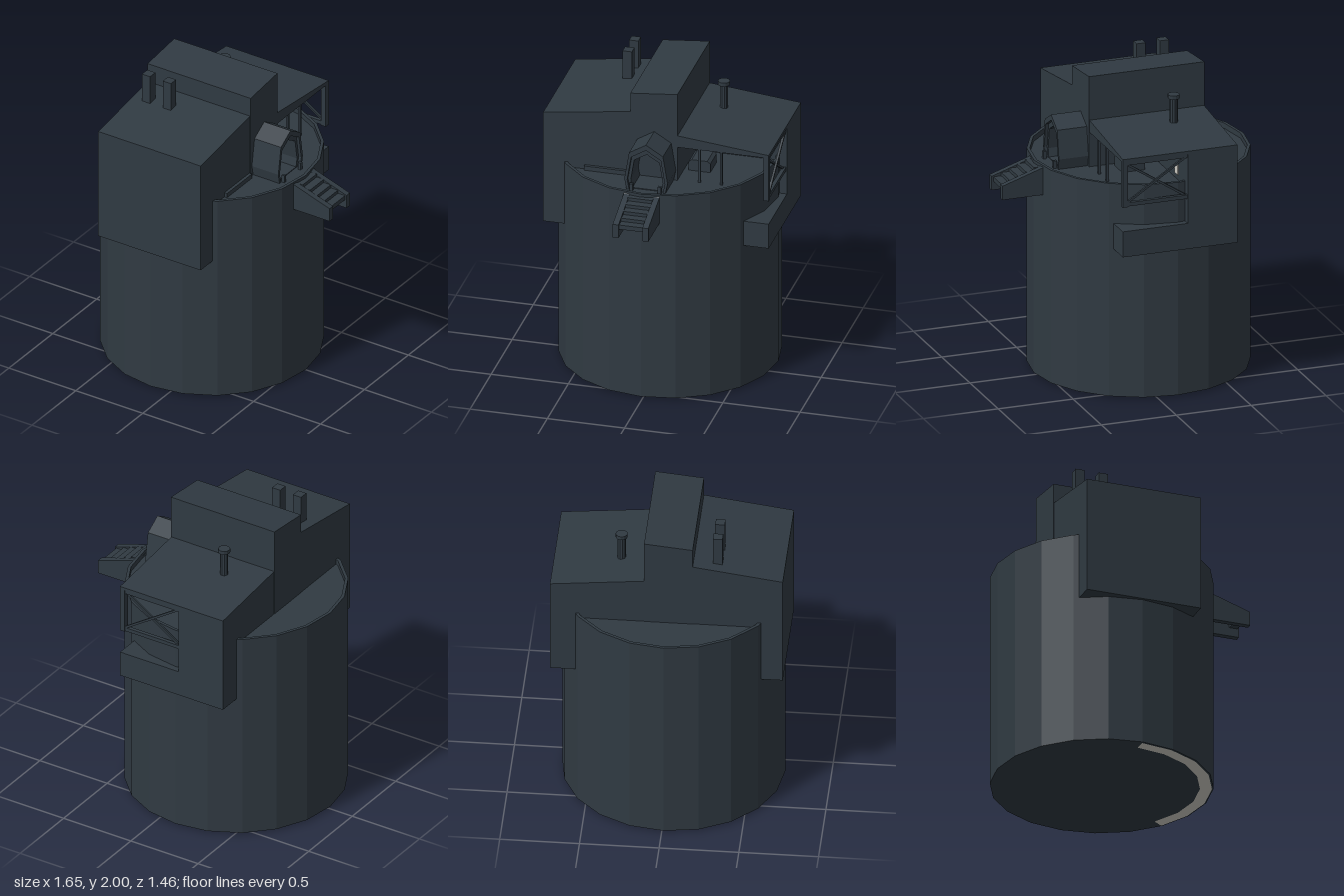
import * as THREE from 'three';

export function createModel() {
  const model = new THREE.Group();
  const slate = new THREE.MeshStandardMaterial({ color: 0x303a42, flatShading: true, side: THREE.DoubleSide });
  slate.name = 'slate';
  const pale = new THREE.MeshStandardMaterial({ color: 0xd0cec6, flatShading: true, side: THREE.DoubleSide });
  pale.name = 'pale';

  const add = (name, geometry, material = slate) => {
    const mesh = new THREE.Mesh(geometry, material);
    mesh.name = name;
    model.add(mesh);
    return mesh;
  };
  // Box given by its extents on each axis
  const box = (name, x0, x1, y0, y1, z0, z1, material) =>
    add(name, new THREE.BoxGeometry(x1 - x0, y1 - y0, z1 - z0)
      .translate((x0 + x1) / 2, (y0 + y1) / 2, (z0 + z1) / 2), material);
  const points = (list) => list.map(([a, b]) => new THREE.Vector2(a, b));
  // Prism along x from a (z, y) profile, with an optional hole
  const prism = (name, x0, x1, profile, hole) => {
    const shape = new THREE.Shape(points(profile));
    if (hole) shape.holes.push(new THREE.Path(points(hole)));
    const geometry = new THREE.ExtrudeGeometry(shape, { depth: x1 - x0, bevelEnabled: false });
    return add(name, geometry.rotateY(-Math.PI / 2).translate(x1, 0, 0));
  };
  // Square bar between two points
  const bar = (name, from, to, size) => {
    const a = new THREE.Vector3(...from), b = new THREE.Vector3(...to);
    const mesh = add(name, new THREE.BoxGeometry(size, size, a.distanceTo(b)));
    mesh.position.copy(a).add(b).multiplyScalar(0.5);
    mesh.lookAt(b);
  };

  // Twenty-sided tower with a low parapet around its deck
  const cx = -0.13, cz = 0.012;
  add('tower', new THREE.LatheGeometry(points([
    [0, 0], [0.62, 0.01], [0.7, 0.01], [0.7, 1.425], [0.68, 1.425], [0.68, 1.39], [0, 1.39],
  ]), 20).translate(cx, 0, cz));
  const deg = Math.PI / 180;
  add('baseArc', new THREE.RingGeometry(0.615, 0.69, 7, 1, -36 * deg, 126 * deg)
    .rotateX(Math.PI / 2).translate(cx, 0.007, cz), pale);

  // House: sloped front wing, raised middle, back wing with an open corner
  const left = 0.255, right = -0.51, wall = -0.18;
  prism('frontWing', right, left, [[0.73, 0.99], [0.73, 1.75], [0.165, 1.83], [0.165, 0.99]]);
  prism('raisedMiddle', right - 0.002, left + 0.003, [[0.165, 1.38], [0.165, 1.96], [-0.14, 1.99], [-0.14, 1.38]]);
  prism('backRoof', right, left, [[-0.14, 1.7], [-0.73, 1.64], [-0.73, 1.62], [-0.14, 1.62]]);
  box('backRoom', right, wall, 0.99, 1.62, -0.73, -0.14);
  box('balcony', wall, left, 0.99, 1.16, -0.73, -0.56);
  box('wallStep', left, 0.275, 1.38, 1.42, 0.175, 0.46);

  // Open corner: posts, rail and cross bracing
  box('cornerPost', 0.22, left, 1.32, 1.62, -0.73, -0.695);
  for (const z of [-0.28, -0.42]) box('thinPost', 0.235, 0.25, 1.39, 1.62, z - 0.008, z + 0.008);
  bar('lowerRail', [wall, 1.335, -0.712], [0.24, 1.335, -0.712], 0.025);
  bar('upperRail', [wall, 1.608, -0.712], [0.24, 1.608, -0.712], 0.025);
  bar('brace', [wall, 1.335, -0.706], [0.24, 1.61, -0.706], 0.014);
  bar('brace', [wall, 1.61, -0.718], [0.24, 1.335, -0.718], 0.014);
  prism('bench', -0.05, 0.1, [[-0.17, 1.39], [-0.17, 1.45], [-0.19, 1.465], [-0.29, 1.465], [-0.31, 1.45], [-0.31, 1.39]]);
  box('wallPanel', wall, wall + 0.006, 1.425, 1.49, -0.56, -0.51, pale);

  // Chimneys and flue
  for (const x of [-0.405, -0.25]) box('chimney', x - 0.03, x + 0.03, 1.75, 2, 0.285, 0.345);
  add('flue', new THREE.CylinderGeometry(0.026, 0.026, 0.22, 10).translate(-0.245, 1.74, -0.305));
  add('flueCap', new THREE.CylinderGeometry(0.038, 0.038, 0.025, 12).translate(-0.245, 1.853, -0.305));

  // Entrance porch: nested peaked frames around a recess
  const arch = (s) => [[-0.125, 1.385], [-0.14, 1.46], [-0.11, 1.645], [0, 1.712], [0.11, 1.645], [0.14, 1.46], [0.125, 1.385]]
    .map(([z, y]) => [0.01 + z * s, 1.385 + (y - 1.385) * s]);
  prism('porch', left, 0.455, arch(1), arch(0.87).map(([z, y]) => [z, y + 0.005]));
  prism('doorFrame', left, 0.435, arch(0.88), arch(0.74).map(([z, y]) => [z, y + 0.01]));
  for (const z of [-0.082, 0.102]) box('doorPost', 0.455, 0.476, 1.38, 1.44, z - 0.01, z + 0.01);

  // Outer stair between two stringers
  for (const z of [-0.105, 0.088]) {
    const shape = new THREE.Shape(points([[0.54, 1.23], [0.822, 1.23], [0.822, 1.322], [0.56, 1.408], [0.54, 1.425]]));
    add('stairStringer', new THREE.ExtrudeGeometry(shape, { depth: 0.038, bevelEnabled: false }).translate(0, 0, z));
  }
  for (let i = 0; i < 5; i++) {
    const x = 0.545 + i * 0.053, y = 1.405 - i * 0.022;
    box('stairTread', x, x + 0.054, y - 0.03, y, -0.07, 0.09);
  }
  return model;
}
